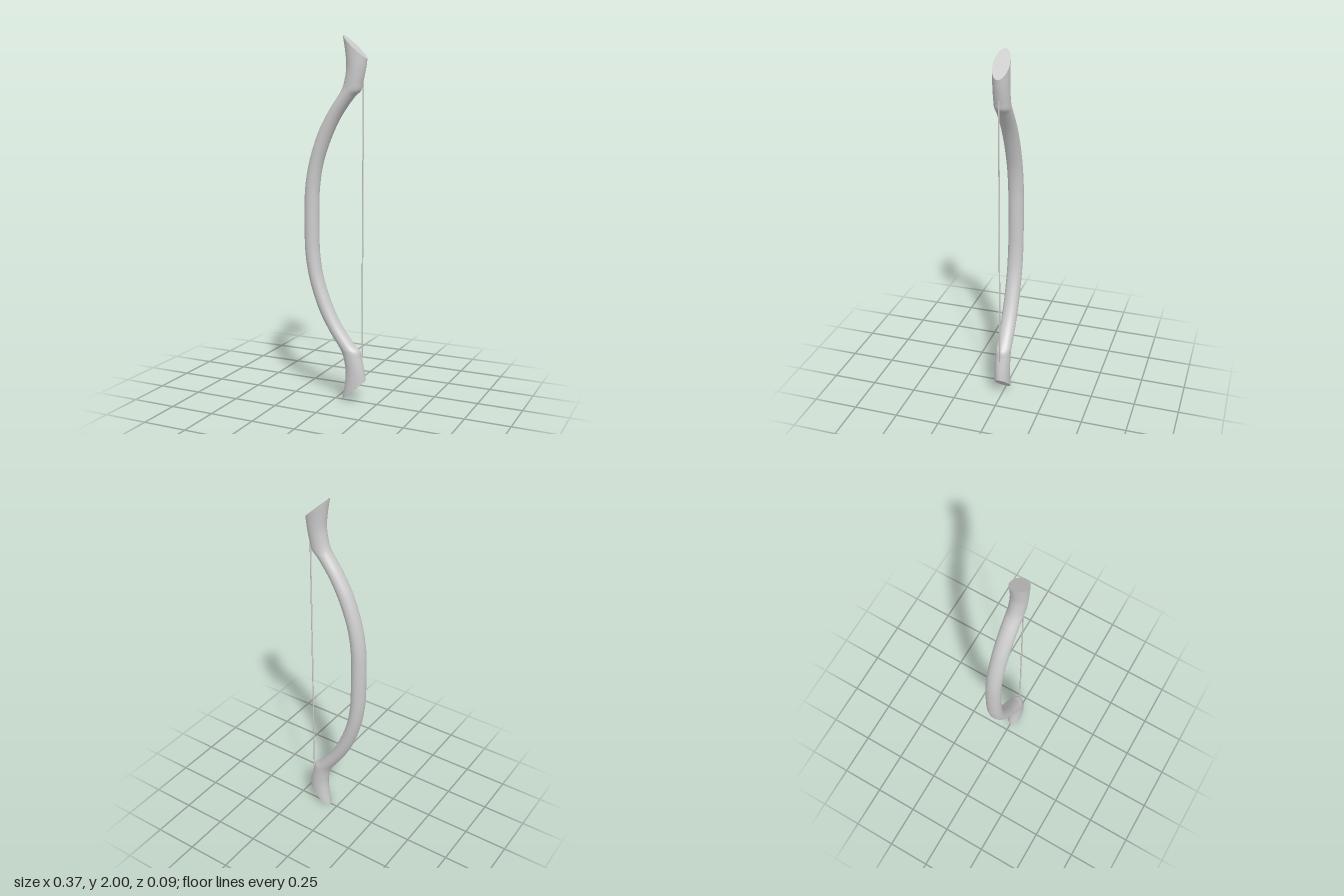
import * as THREE from 'three';

const HALF_DEPTH = 0.0435, SIDES = 32, STEPS = 160;

// Upper half of the bow: [outer x, outer y, inner x, inner y] from tip to grip
const upper = [
  [0.045, 2.0, 0.182, 1.875],
  [0.06, 1.91, 0.175, 1.83],
  [0.066, 1.84, 0.165, 1.785],
  [0.058, 1.775, 0.155, 1.745],
  [0.045, 1.73, 0.144, 1.708],
  [0.027, 1.695, 0.105, 1.672],
  [-0.035, 1.605, 0.03, 1.57],
  [-0.098, 1.49, -0.03, 1.45],
  [-0.15, 1.34, -0.077, 1.315],
  [-0.177, 1.2, -0.098, 1.185],
  [-0.184, 1.07, -0.102, 1.07],
];
const lower = upper.map(([a, b, c, d]) => [a, 2 - b, c, 2 - d]).reverse();
const sections = [...upper, ...lower];

const edge = (i) => new THREE.CatmullRomCurve3(
  sections.map((s) => new THREE.Vector3(s[i], s[i + 1], 0)), false, 'catmullrom', 0.5);

// Elliptical ring spanning from the outer edge point to the inner one
function ring(outer, inner) {
  const mid = outer.clone().add(inner).multiplyScalar(0.5);
  const half = inner.clone().sub(outer).multiplyScalar(0.5);
  return Array.from({ length: SIDES }, (_, j) => {
    const a = (j / SIDES) * Math.PI * 2;
    const p = mid.clone().addScaledVector(half, Math.cos(a));
    p.z = HALF_DEPTH * Math.sin(a);
    return p;
  });
}

function build(points, index) {
  const g = new THREE.BufferGeometry().setFromPoints(points);
  g.setIndex(index);
  g.computeVertexNormals();
  return g;
}

export function createModel() {
  const group = new THREE.Group();
  group.name = 'bow';
  const material = new THREE.MeshStandardMaterial({ color: 0xcccccc });
  const add = (name, geometry) => {
    const mesh = new THREE.Mesh(geometry, material);
    mesh.name = name;
    group.add(mesh);
    return mesh;
  };

  // Curved limbs and grip, skinned through the rings
  const outer = edge(0), inner = edge(2);
  const rings = [];
  for (let i = 0; i <= STEPS; i++) rings.push(ring(outer.getPoint(i / STEPS), inner.getPoint(i / STEPS)));
  const index = [];
  for (let i = 0; i < STEPS; i++) {
    for (let j = 0; j < SIDES; j++) {
      const k = (j + 1) % SIDES;
      const a = i * SIDES + j, b = i * SIDES + k, c = a + SIDES, d = b + SIDES;
      index.push(a, b, c, b, d, c);
    }
  }
  // Rings run down the bow, so check the facing once: the +x side must face +x
  const body = build(rings.flat(), index);
  if (body.attributes.normal.getX((STEPS / 2) * SIDES) < 0) {
    body.setIndex(index.reverse());
    body.computeVertexNormals();
  }
  add('limbs', body);

  // Slanted flat tips
  const cap = (name, points, up) => {
    const fan = [];
    for (let j = 1; j < SIDES - 1; j++) fan.push(...(up ? [0, j + 1, j] : [0, j, j + 1]));
    add(name, build(points, fan));
  };
  cap('upperTip', rings[0], true);
  cap('lowerTip', rings[STEPS], false);

  // Bowstring
  add('string', new THREE.CylinderGeometry(0.004, 0.004, 1.52, 12)).position.set(0.161, 1, 0);
  return group;
}
